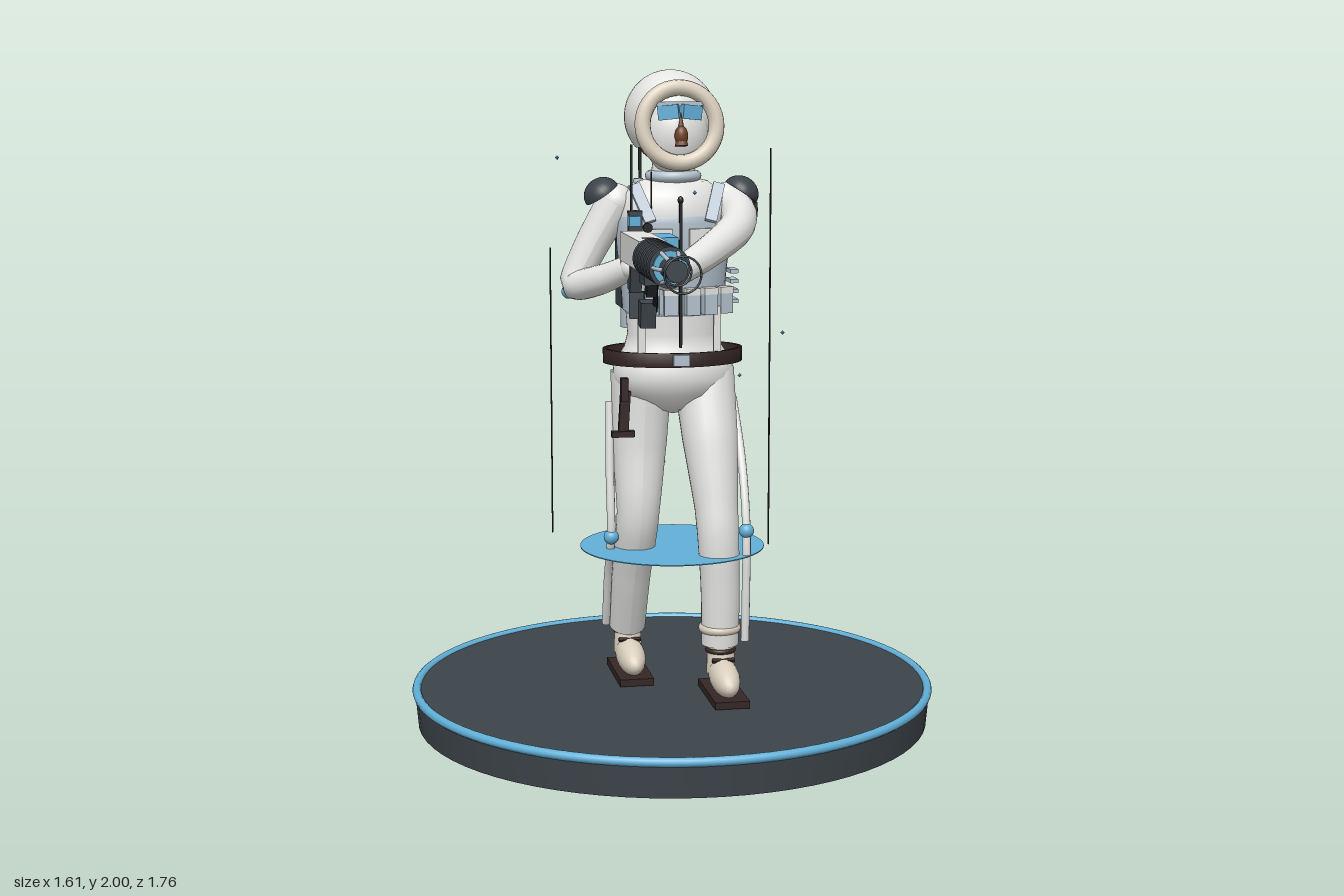
import * as THREE from 'three';

const mat = (name, color, side = THREE.FrontSide) => {
  const m = new THREE.MeshStandardMaterial({ color, side });
  m.name = name;
  return m;
};
const V = (a) => new THREE.Vector3(...a);

export function createModel() {
  const white = mat('suit white', 0xe4e4e2, THREE.DoubleSide);
  const steel = mat('pale steel', 0xb3c1cd);
  const slate = mat('dark slate', 0x3d444a);
  const blue = mat('sky blue', 0x62b0d8, THREE.DoubleSide);
  const brown = mat('dark leather', 0x34262400 >> 8);
  const cream = mat('cream fleece', 0xdacfbe);
  const skin = mat('skin brown', 0x6e4226);
  const black = mat('black', 0x1d1f22);

  const model = new THREE.Group();
  model.name = 'snowSoldier';

  // Helpers
  const add = (name, geo, m, p = [0, 0, 0], r = [0, 0, 0], s = [1, 1, 1]) => {
    const mesh = new THREE.Mesh(geo, m);
    mesh.name = name;
    mesh.position.set(...p);
    mesh.rotation.set(...r);
    mesh.scale.set(...s);
    model.add(mesh);
    return mesh;
  };
  const box = (name, m, size, p, r) => add(name, new THREE.BoxGeometry(...size), m, p, r);
  const ball = (name, m, s, p, r) => add(name, new THREE.SphereGeometry(1, 24, 16), m, p, r, s);
  const cyl = (name, m, rt, rb, h, p, r, n = 24) =>
    add(name, new THREE.CylinderGeometry(rt, rb, h, n), m, p, r);
  const ring = (name, m, R, t, p, r, s) =>
    add(name, new THREE.TorusGeometry(R, t, 12, 40), m, p, r, s);
  const hose = (name, m, pts, r) =>
    add(name, new THREE.TubeGeometry(new THREE.CatmullRomCurve3(pts.map(V)), 24, r, 10), m);
  // Tube whose radius follows a list of values along its length
  const limb = (name, m, pts, radii, tension = 0.4) => {
    const curve = new THREE.CatmullRomCurve3(pts.map(V), false, 'catmullrom', tension);
    const segs = 32, sides = 20;
    const geo = new THREE.TubeGeometry(curve, segs, 1, sides);
    const pos = geo.attributes.position, v = new THREE.Vector3();
    for (let i = 0; i < pos.count; i++) {
      const u = Math.floor(i / (sides + 1)) / segs, c = curve.getPointAt(u);
      const t = u * (radii.length - 1), k = Math.min(Math.floor(t), radii.length - 2);
      const r = THREE.MathUtils.lerp(radii[k], radii[k + 1], t - k);
      v.fromBufferAttribute(pos, i).sub(c).multiplyScalar(r).add(c);
      pos.setXYZ(i, v.x, v.y, v.z);
    }
    geo.computeVertexNormals();
    return add(name, geo, m);
  };
  const lathe = (name, m, pts, p, s) =>
    add(name, new THREE.LatheGeometry(pts.map((a) => new THREE.Vector2(...a)), 40), m, p, [0, 0, 0], s);

  // Display base with a floating disc and thin light posts
  const cz = -0.074, H = Math.PI / 2;
  cyl('base', slate, 0.8, 0.79, 0.11, [0, 0.055, cz], undefined, 72);
  add('baseRim', new THREE.TorusGeometry(0.793, 0.014, 10, 96), blue, [0, 0.106, cz], [H, 0, 0]);
  cyl('glowDisc', blue, 0.284, 0.284, 0.003, [0, 0.545, cz], undefined, 64);
  [[0.235, 0.23, 1.78], [-0.375, -0.05, 1.475], [0.15, -0.415, 1.18]].forEach(([x, z, top]) =>
    cyl('lightPost', black, 0.0025, 0.0025, top - 0.605, [x, (top + 0.605) / 2, z], undefined, 6));
  [[0.36, 1.19, -0.135], [0.28, 1.02, -0.39], [0.055, 0.72, -0.52], [0.21, 1.26, -0.22],
    [0.02, 1.65, 0.18], [-0.345, 1.74, -0.1], [0.235, 0.98, -0.41]].forEach((p) =>
    add('snowSpark', new THREE.OctahedronGeometry(0.007), blue, p));

  // Legs: left steps forward, right trails
  [{ x: 1, foot: 0.14, leg: [[0.095, 1.09, -0.065], [0.103, 0.87, 0.015], [0.112, 0.63, 0.08], [0.12, 0.42, 0.082], [0.121, 0.265, 0.075]],
    brace: [[0.192, 1.0, -0.085], [0.197, 0.82, 0.03], [0.196, 0.62, 0.105], [0.195, 0.45, 0.107], [0.195, 0.275, 0.095]] },
  { x: -1, foot: -0.15, leg: [[-0.095, 1.09, -0.075], [-0.103, 0.87, -0.07], [-0.112, 0.65, -0.045], [-0.12, 0.45, -0.12], [-0.121, 0.265, -0.2]],
    brace: [[-0.192, 1.0, -0.08], [-0.197, 0.8, -0.055], [-0.196, 0.585, -0.04], [-0.195, 0.45, -0.11], [-0.19, 0.275, -0.19]] }]
    .forEach(({ x, foot, leg, brace }) => {
      const bx = x * 0.12, az = foot - 0.055;
      limb('trouserLeg', white, leg, [0.095, 0.085, 0.066, 0.06, 0.057]);
      hose('legBrace', white, brace, 0.013);
      ball('braceJoint', blue, [0.023, 0.023, 0.023], brace[2]);
      ring('ankleFleece', cream, 0.05, 0.015, [bx, 0.315, az - 0.01], [H, 0, 0]);
      limb('bootShaft', cream, [[bx, 0.3, az], [bx, 0.24, az + 0.005], [bx, 0.18, az + 0.015]], [0.038, 0.042, 0.045]);
      ball('bootFoot', cream, [0.045, 0.05, 0.108], [bx, 0.178, foot + 0.005], [0.16, 0, 0]);
      ring('bootStrap', brown, 0.039, 0.008, [bx, 0.25, az + 0.004], [H, 0, 0]);
      box('instepStrap', brown, [0.07, 0.008, 0.012], [bx, 0.226, az + 0.05], [0.5, 0, 0]);
      box('bootSole', brown, [0.106, 0.022, 0.265], [bx, 0.125, foot]);
    });
  // Thigh gear
  box('knifeSheath', brown, [0.03, 0.13, 0.02], [-0.163, 0.98, 0.015], [0, 0, -0.06]);
  box('knifeHandle', brown, [0.022, 0.07, 0.022], [-0.163, 1.05, 0.02]);
  box('knifeGuard', brown, [0.07, 0.018, 0.026], [-0.168, 0.915, 0.02]);
  box('thighPocket', white, [0.02, 0.14, 0.07], [-0.185, 0.82, -0.1]);

  // Torso, belt and vest
  lathe('torso', white, [[0, 0.96], [0.09, 0.98], [0.172, 1.03], [0.186, 1.08], [0.182, 1.12], [0.15, 1.17], [0.14, 1.21],
    [0.148, 1.33], [0.162, 1.46], [0.168, 1.57], [0.15, 1.635], [0.105, 1.67], [0, 1.69]], [0, 0, -0.058], [1, 1, 0.68]);
  lathe('vest', steel, [[0.142, 1.27], [0.155, 1.285], [0.163, 1.4], [0.172, 1.47], [0.174, 1.55], [0.164, 1.57]],
    [0, 0, -0.055], [1, 1, 0.7]);
  lathe('belt', brown, [[0.2, 1.121], [0.214, 1.121], [0.214, 1.164], [0.2, 1.164], [0.2, 1.121]], [0, 0, -0.067], [1, 1, 0.69]);
  box('beltBuckle', steel, [0.05, 0.034, 0.012], [0, 1.143, 0.083]);
  box('zipper', black, [0.008, 0.44, 0.008], [0, 1.4, 0.068]);
  ball('zipperPull', black, [0.009, 0.012, 0.009], [0, 1.62, 0.066]);
  [-0.085, -0.03, 0.035, 0.09, 0.14].forEach((x, i) => {
    const z = 0.072 - 1.9 * x * x;
    box('chestPouch', steel, [0.042, 0.075, 0.03], [x, 1.315, z], [0, x * 2.5, 0]);
    box('pouchFlap', white, [0.044, 0.02, 0.034], [x, 1.348, z], [0, x * 2.5, 0]);
  });
  box('darkPouch', slate, [0.045, 0.08, 0.03], [-0.13, 1.31, 0.055], [0, -0.3, 0]);
  for (let i = 0; i < 4; i++) box('vestRib', steel, [0.025, 0.012, 0.07], [0.175, 1.31 + i * 0.03, -0.02]);
  [-1, 1].forEach((s) => {
    box('frontStrap', steel, [0.035, 0.13, 0.014], [s * 0.11, 1.61, 0.035], [-0.55, 0, s * -0.3]);
    box('backStrap', steel, [0.035, 0.13, 0.014], [s * 0.1, 1.6, -0.155], [0.45, 0, 0]);
    box('chestPanel', white, [0.08, 0.07, 0.01], [s * 0.065, 1.5, 0.064], [0, s * 0.18, 0]);
    box('frontSuspender', white, [0.022, 0.14, 0.01], [s * 0.115, 1.23, 0.047]);
    box('backSuspender', white, [0.022, 0.15, 0.01], [s * 0.1, 1.23, -0.175]);
    // Domed shoulder pads
    const pad = new THREE.SphereGeometry(1, 24, 10, 0, Math.PI * 2, 0, H);
    add('shoulderPad', pad, slate, [s * 0.213, 1.63, -0.08], [0, 0, s * -0.6], [0.056, 0.05, 0.068]);
    add('shoulderPadBase', new THREE.CircleGeometry(1, 24).rotateX(H), slate,
      [s * 0.213, 1.63, -0.08], [0, 0, s * -0.6], [0.056, 1, 0.068]);
  });

  // Head, hood and face
  cyl('neck', white, 0.06, 0.075, 0.1, [0, 1.69, -0.055]);
  ring('collar', steel, 0.068, 0.017, [0, 1.685, -0.055], [H, 0, 0]);
  ball('head', skin, [0.118, 0.12, 0.122], [0, 1.835, -0.1]);
  add('helmet', new THREE.SphereGeometry(0.14, 40, 24, 0, Math.PI * 2, 0, 2.28), white, [0, 1.86, -0.1]);
  ball('faceMask', white, [0.098, 0.12, 0.085], [0, 1.81, -0.02]);
  ring('hoodFur', cream, 0.111, 0.024, [0, 1.84, 0.05], [-0.14, 0, 0]);
  [-1, 1].forEach((s) => box('goggleLens', blue, [0.062, 0.042, 0.03], [s * 0.033, 1.878, 0.05], [0, s * 0.3, s * -0.1]));
  box('goggleFrame', steel, [0.14, 0.012, 0.02], [0, 1.903, 0.045]);
  add('nose', new THREE.ConeGeometry(0.02, 0.1, 12), skin, [0, 1.83, 0.075], [-0.12, 0, 0]);
  ball('noseTip', skin, [0.02, 0.03, 0.02], [0, 1.81, 0.078]);

  // Arms
  limb('rightArm', white, [[-0.175, 1.6, -0.08], [-0.25, 1.47, -0.08], [-0.298, 1.365, -0.065], [-0.23, 1.385, 0.02], [-0.16, 1.425, 0.09]],
    [0.058, 0.053, 0.047, 0.045, 0.038]);
  limb('leftArm', white, [[0.175, 1.6, -0.08], [0.19, 1.57, 0.0], [0.155, 1.53, 0.1], [0.04, 1.47, 0.22], [-0.075, 1.42, 0.31]],
    [0.058, 0.054, 0.05, 0.045, 0.038]);
  [-1, 1].forEach((s) => ball('shoulder', white, [0.058, 0.058, 0.058], [s * 0.172, 1.605, -0.08]));
  ball('elbowJoint', blue, [0.022, 0.022, 0.022], [-0.317, 1.34, -0.07]);
  ball('rightGlove', white, [0.038, 0.035, 0.04], [-0.152, 1.425, 0.1]);
  ball('leftGlove', white, [0.045, 0.033, 0.045], [-0.09, 1.415, 0.32]);
  box('armPatch', brown, [0.012, 0.045, 0.06], [0.238, 1.585, -0.01]);
  box('armPatchStripe', skin, [0.008, 0.012, 0.05], [0.243, 1.585, -0.01]);

  // Long rifle pointing forward
  const gx = -0.148, gy = 1.487;
  box('receiver', white, [0.08, 0.085, 0.32], [gx, gy + 0.005, 0.265]);
  box('powerCell', blue, [0.062, 0.05, 0.145], [-0.078, 1.505, 0.212]);
  box('receiverSlot', black, [0.03, 0.006, 0.012], [gx, 1.533, 0.335]);
  cyl('scope', black, 0.014, 0.014, 0.01, [gx, 1.565, 0.345], [H, 0, 0]);
  box('rearSight', blue, [0.035, 0.03, 0.03], [gx, 1.565, 0.12]);
  box('stock', slate, [0.05, 0.07, 0.08], [gx, 1.48, 0.08]);
  box('rearGrip', slate, [0.035, 0.1, 0.045], [gx, 1.41, 0.13], [0.25, 0, 0]);
  box('foreGrip', slate, [0.05, 0.04, 0.08], [gx, 1.43, 0.395]);
  box('trigger', black, [0.03, 0.045, 0.035], [gx, 1.4, 0.4], [0.3, 0, 0]);
  cyl('barrelCore', blue, 0.047, 0.047, 0.28, [gx, gy, 0.56], [H, 0, 0]);
  for (let i = 0; i < 6; i++) cyl('barrelCoil', slate, 0.057, 0.057, 0.029, [gx, gy, 0.437 + i * 0.048], [H, 0, 0]);
  for (let i = 0; i < 6; i++) {
    const a = (i * Math.PI) / 3, c = Math.cos(a), s = Math.sin(a);
    hose('muzzleProng', steel, [[gx + 0.046 * c, gy + 0.046 * s, 0.69], [gx + 0.04 * c, gy + 0.04 * s, 0.72], [gx + 0.028 * c, gy + 0.028 * s, 0.755]], 0.006);
  }
  cyl('muzzle', slate, 0.03, 0.03, 0.1, [gx, gy, 0.745], [H, 0, 0]);
  ring('muzzleBand', blue, 0.029, 0.004, [gx, gy, 0.77]);
  ring('pulseRingSmall', slate, 0.037, 0.003, [gx, gy, 0.805]);
  ring('pulseRingLarge', slate, 0.049, 0.003, [gx, gy, 0.88]);
  // Power cable and its hanging pack
  hose('powerCable', black, [[-0.13, 1.42, 0.38], [-0.115, 1.35, 0.28], [-0.1, 1.29, 0.17], [-0.09, 1.28, 0.08]], 0.007);
  hose('chestCable', black, [[-0.13, 1.5, 0.09], [-0.095, 1.42, 0.1], [-0.08, 1.35, 0.08], [-0.075, 1.29, 0.07]], 0.007);
  box('cablePack', slate, [0.045, 0.075, 0.05], [-0.13, 1.305, 0.23], [0.15, 0, 0]);
  cyl('chestAntenna', black, 0.004, 0.004, 0.22, [-0.145, 1.675, 0.05], undefined, 8);
  box('chestRadio', slate, [0.04, 0.08, 0.03], [-0.135, 1.55, 0.05]);
  cyl('shortAntenna', black, 0.0025, 0.0025, 0.13, [-0.085, 1.64, 0.05], undefined, 8);

  // Backpack with twin tanks
  box('packBody', slate, [0.27, 0.24, 0.115], [0, 1.39, -0.262]);
  box('packBar', brown, [0.29, 0.032, 0.13], [0, 1.49, -0.255]);
  box('packStripe', blue, [0.17, 0.012, 0.008], [0, 1.455, -0.321]);
  [-1, 1].forEach((s) => {
    const x = s * 0.073;
    cyl('tank', steel, 0.057, 0.057, 0.39, [x, 1.4, -0.25]);
    ball('tankTop', steel, [0.057, 0.057, 0.057], [x, 1.595, -0.25]);
    cyl('tankValve', steel, 0.015, 0.02, 0.03, [x, 1.65, -0.25]);
    box('packStrap', brown, [0.022, 0.03, 0.09], [s * 0.13, 1.49, -0.17]);
  });
  cyl('packAntenna', black, 0.005, 0.005, 0.44, [-0.062, 1.72, -0.285], undefined, 8);

  return model;
}
